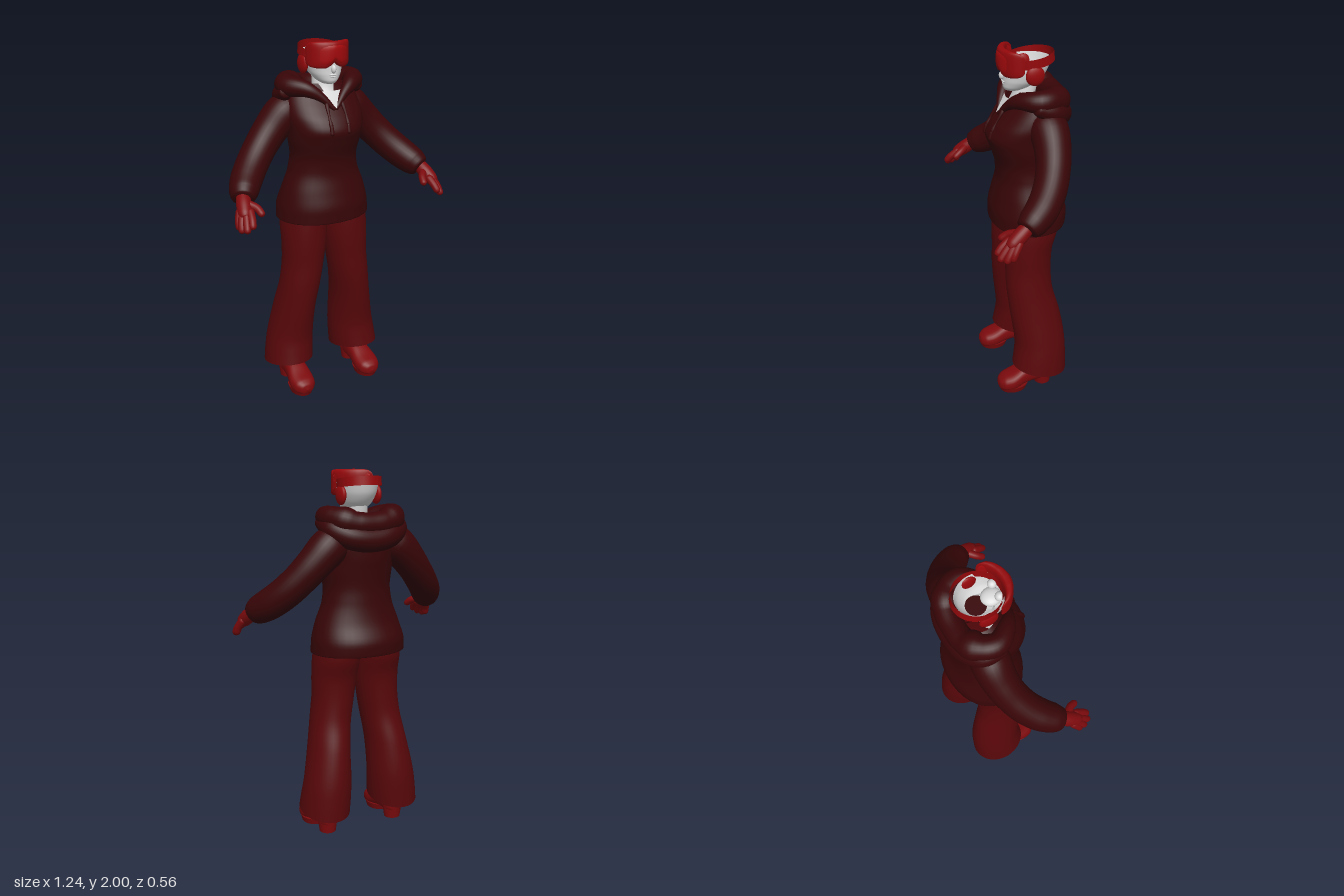
import * as THREE from 'three';

const mat = (name, color, side = THREE.FrontSide) => {
  const m = new THREE.MeshStandardMaterial({ color, side });
  m.name = name;
  return m;
};

// Fixed cross-section axes for sweeps that run along x, y or z
const V = (x, y, z) => new THREE.Vector3(x, y, z);
const AXES = {
  x: [V(0, 1, 0), V(0, 0, -1)],
  y: [V(1, 0, 0), V(0, 0, 1)],
  z: [V(1, 0, 0), V(0, -1, 0)],
};

// Smooth skin through rows [x, y, z, ra, rb, tilt]; power < 1 squares the section
function sweep(rows, { axis = null, seg = 28, steps = 5, power = 1 } = {}) {
  const path = new THREE.CatmullRomCurve3(rows.map(r => V(r[0], r[1], r[2])));
  const size = new THREE.CatmullRomCurve3(rows.map(r => V(r[3], r[4] ?? r[3], r[5] ?? 0)));
  const n = (rows.length - 1) * steps, pos = [], idx = [];
  const bend = w => Math.sign(w) * Math.pow(Math.abs(w), power);
  let u = Math.abs(path.getTangent(0).z) < 0.8 ? V(0, 0, 1) : V(0, 1, 0), v;
  for (let i = 0; i <= n; i++) {
    const c = path.getPoint(i / n), s = size.getPoint(i / n);
    if (axis) [u, v] = AXES[axis];
    else {
      const t = path.getTangent(i / n);
      u = u.clone().addScaledVector(t, -u.dot(t)).normalize();
      v = u.clone().cross(t);
    }
    for (let j = 0; j < seg; j++) {
      const a = (j / seg) * Math.PI * 2;
      const p = c.clone().addScaledVector(u, bend(Math.cos(a)) * s.x).addScaledVector(v, bend(Math.sin(a)) * s.y);
      pos.push(p.x, p.y + s.z * Math.sin(a), p.z);
      if (i < n) {
        const k = (j + 1) % seg, A = i * seg, B = A + seg;
        idx.push(A + j, B + j, B + k, A + j, B + k, A + k);
      }
    }
  }
  const g = new THREE.BufferGeometry();
  g.setAttribute('position', new THREE.Float32BufferAttribute(pos, 3));
  g.setIndex(idx);
  g.computeVertexNormals();
  return g;
}

// Round tube with domed ends, rows [x, y, z, r]
function limb(rows, opts) {
  const dome = (a, b) => {
    const d = V(a[0] - b[0], a[1] - b[1], a[2] - b[2]).normalize();
    return [[0.7, 0.72], [1, 0.03]].map(([k, s]) =>
      [a[0] + d.x * k * a[3], a[1] + d.y * k * a[3], a[2] + d.z * k * a[3], a[3] * s]);
  };
  const n = rows.length;
  return sweep([...dome(rows[0], rows[1]).reverse(), ...rows, ...dome(rows[n - 1], rows[n - 2])], opts);
}

function ball(x, y, z, rx, ry, rz) {
  return new THREE.SphereGeometry(1, 20, 14).scale(rx, ry, rz).translate(x, y, z);
}

// Mirror across x = 0 and restore the face winding
function mirrored(geo) {
  const g = geo.clone().scale(-1, 1, 1), a = g.index.array;
  for (let i = 0; i < a.length; i += 3) [a[i], a[i + 1]] = [a[i + 1], a[i]];
  g.computeVertexNormals();
  return g;
}

export function createModel() {
  const root = new THREE.Group();
  root.name = 'figure';
  const D = THREE.DoubleSide;
  const jacket = mat('dark maroon cloth', 0x380507, D);
  const trousers = mat('deep red cloth', 0x58070a, D);
  const leather = mat('red leather', 0x7c0a0d);
  const frameRed = mat('goggle frame red', 0x94080b, D);
  const lensRed = mat('goggle lens red', 0xa4090c);
  const skin = mat('pale skin', 0xdadada, D);
  const add = (name, geo, material) => {
    const m = new THREE.Mesh(geo, material);
    m.name = name;
    root.add(m);
  };
  const pair = (name, geo, material) => {
    add(name + 'Left', geo, material);
    add(name + 'Right', mirrored(geo), material);
  };

  // Hooded top with a turned-in hem
  add('jacketBody', sweep([
    [0, 1.06, -0.057, 0.24, 0.18], [0, 1.035, -0.058, 0.266, 0.206], [0, 1.1, -0.06, 0.262, 0.209],
    [0, 1.2, -0.05, 0.236, 0.178], [0, 1.3, -0.05, 0.198, 0.157], [0, 1.38, -0.045, 0.186, 0.157],
    [0, 1.48, -0.033, 0.2, 0.178], [0, 1.54, -0.029, 0.206, 0.19], [0, 1.6, -0.043, 0.215, 0.178],
    [0, 1.66, -0.065, 0.212, 0.15], [0, 1.725, -0.085, 0.19, 0.115], [0, 1.772, -0.085, 0.11, 0.082],
  ], { axis: 'y', seg: 40, power: 0.95 }), jacket);
  pair('sleeve', sweep([
    [0.12, 1.66, -0.1, 0.075], [0.2, 1.61, -0.115, 0.102], [0.28, 1.53, -0.11, 0.094], [0.355, 1.448, -0.085, 0.088],
    [0.42, 1.378, -0.045, 0.087], [0.478, 1.32, 0.01, 0.085], [0.52, 1.28, 0.07, 0.077],
    [0.538, 1.26, 0.105, 0.06], [0.542, 1.255, 0.112, 0.035],
  ]), jacket);

  // Hood lying on the shoulders: rolled rim and the fold below it
  const rim = [[0.065, 1.715, 0.06, 0.024], [0.13, 1.755, 0.015, 0.042], [0.19, 1.762, -0.07, 0.058],
    [0.165, 1.757, -0.145, 0.062], [0.09, 1.735, -0.195, 0.062]];
  const flip = rows => rows.map(([x, ...r]) => [-x, ...r]);
  add('hoodRim', limb([[0.008, 1.655, 0.093, 0.01], ...rim, [0, 1.728, -0.205, 0.06],
    ...flip(rim).reverse(), [-0.008, 1.655, 0.093, 0.01]]), jacket);
  const fold = [[0.21, 1.73, -0.07, 0.042], [0.185, 1.7, -0.145, 0.06], [0.11, 1.665, -0.198, 0.066]];
  add('hoodFold', limb([...fold, [0, 1.65, -0.212, 0.067], ...flip(fold).reverse()]), jacket);

  // Drawstrings
  pair('drawstring', limb([[0.045, 1.69, 0.078, 0.006], [0.05, 1.62, 0.122, 0.006], [0.05, 1.57, 0.148, 0.006]], { seg: 10 }), jacket);
  pair('drawstringEnd', limb([[0.05, 1.575, 0.146, 0.01], [0.05, 1.54, 0.153, 0.012]], { seg: 12 }), jacket);

  // Flared trouser legs with a hem that dips at the back
  pair('trouserLeg', sweep([
    [0.217, 0.145, -0.075, 0.138, 0.157, 0.03], [0.21, 0.22, -0.08, 0.136, 0.152, 0.015],
    [0.2, 0.32, -0.082, 0.129, 0.146], [0.18, 0.5, -0.058, 0.114, 0.142], [0.157, 0.65, -0.032, 0.112, 0.13],
    [0.14, 0.77, -0.028, 0.115, 0.128], [0.13, 0.9, -0.03, 0.124, 0.134], [0.125, 1.0, -0.045, 0.127, 0.148],
    [0.12, 1.1, -0.05, 0.12, 0.15],
  ], { axis: 'y', seg: 36 }), trousers);

  // Shoes: upper, ankle shaft, heel block and front sole
  pair('shoeUpper', sweep([
    [0.21, 0.09, -0.152, 0.004, 0.004], [0.21, 0.095, -0.145, 0.035, 0.038], [0.21, 0.1, -0.12, 0.053, 0.06],
    [0.21, 0.11, -0.05, 0.058, 0.068], [0.212, 0.095, 0.02, 0.063, 0.06], [0.216, 0.067, 0.09, 0.072, 0.053],
    [0.216, 0.058, 0.14, 0.062, 0.044], [0.216, 0.053, 0.168, 0.034, 0.028], [0.216, 0.051, 0.176, 0.003, 0.003],
  ], { axis: 'z', power: 0.8 }), leather);
  pair('shoeShaft', limb([[0.21, 0.12, -0.055, 0.055], [0.21, 0.24, -0.075, 0.058]]), leather);
  pair('shoeHeel', new THREE.CylinderGeometry(0.056, 0.046, 0.075, 20).translate(0.21, 0.05, -0.098), leather);
  pair('shoeSole', new THREE.CylinderGeometry(1, 0.85, 0.035, 28).scale(0.07, 1, 0.09).translate(0.216, 0.0225, 0.083), leather);

  // Gloves
  pair('glovePalm', limb([[0.54, 1.265, 0.105, 0.036], [0.553, 1.235, 0.145, 0.04], [0.566, 1.205, 0.185, 0.036]]), leather);
  [
    ['thumb', [0.532, 1.24, 0.155], [0.502, 1.226, 0.19], [0.491, 1.205, 0.22]],
    ['indexFinger', [0.543, 1.213, 0.2], [0.55, 1.185, 0.238], [0.556, 1.162, 0.258]],
    ['middleFinger', [0.565, 1.203, 0.198], [0.577, 1.165, 0.233], [0.583, 1.142, 0.251]],
    ['ringFinger', [0.58, 1.2, 0.183], [0.595, 1.16, 0.21], [0.6, 1.137, 0.223]],
    ['littleFinger', [0.584, 1.207, 0.16], [0.599, 1.17, 0.183], [0.603, 1.145, 0.193]],
  ].forEach(([name, ...pts]) =>
    pair(name, limb(pts.map((p, i) => [...p, 0.022 - i * 0.0015]), { seg: 14, steps: 4 }), leather));

  // Neck and the open collar
  add('neck', sweep([[0, 1.64, 0, 0.08, 0.07], [0, 1.7, -0.015, 0.07, 0.062],
    [0, 1.75, -0.04, 0.06, 0.06], [0, 1.82, -0.055, 0.055, 0.06]], { axis: 'y' }), skin);
  const collar = new THREE.BufferGeometry();
  collar.setAttribute('position', new THREE.Float32BufferAttribute(
    [0, 1.66, 0.108, 0.06, 1.74, 0.045, 0, 1.74, 0.055, -0.06, 1.74, 0.045], 3));
  collar.setIndex([0, 1, 2, 0, 2, 3]);
  collar.computeVertexNormals();
  add('collarSkin', collar, skin);

  // Open-topped head with simple features
  add('head', sweep([
    [0, 1.775, 0.012, 0.012, 0.02], [0, 1.778, 0.01, 0.034, 0.046], [0, 1.795, -0.006, 0.058, 0.075],
    [0, 1.83, -0.03, 0.084, 0.102], [0, 1.88, -0.047, 0.1, 0.119], [0, 1.935, -0.057, 0.108, 0.125],
  ], { axis: 'y', seg: 36 }), skin);
  add('nose', ball(0, 1.857, 0.074, 0.013, 0.022, 0.016), skin);
  add('upperLip', ball(0, 1.827, 0.068, 0.024, 0.006, 0.008), skin);
  add('lowerLip', ball(0, 1.816, 0.065, 0.02, 0.006, 0.008), skin);
  pair('eyeball', ball(0.036, 1.895, 0.025, 0.023, 0.023, 0.023), skin);
  add('innerMouth', ball(0, 1.85, 0, 0.048, 0.028, 0.052), skin);
  add('throatOpening', new THREE.CircleGeometry(0.052, 24).rotateX(-Math.PI / 2).translate(0, 1.835, -0.08), jacket);

  // Goggles with a nose notch, lens, strap and ear pads
  const goggle = (shrink, push) => {
    const half = [[0.12, 1.928, -0.01, 0.006, 0.004], [0.119, 1.93, -0.002, 0.045, 0.01], [0.108, 1.932, 0.022, 0.062, 0.018],
      [0.085, 1.932, 0.045, 0.067, 0.021], [0.05, 1.932, 0.064, 0.068, 0.023], [0.022, 1.938, 0.071, 0.062, 0.024]]
      .map(([x, y, z, a, b]) => [x * (1 - shrink * 5), y, z + push, Math.max(a - shrink, 0.003), b]);
    return sweep([...flip(half), [0, 1.946, 0.073 + push, 0.054 - shrink, 0.024], ...half.reverse()], { axis: 'x', power: 0.6 });
  };
  add('goggleFrame', goggle(0, 0), frameRed);
  add('goggleLens', goggle(0.013, 0.004), lensRed);
  const strap = r => new THREE.CylinderGeometry(1, 1, 0.046, 40, 1, true).scale(0.112 + r, 1, 0.122 + r)
    .rotateX(0.12).translate(0, 1.935, -0.075);
  add('strapOuter', strap(0.004), frameRed);
  add('strapInner', strap(0), frameRed);
  pair('earPad', ball(0.105, 1.872, -0.07, 0.02, 0.052, 0.05), frameRed);

  return root;
}
